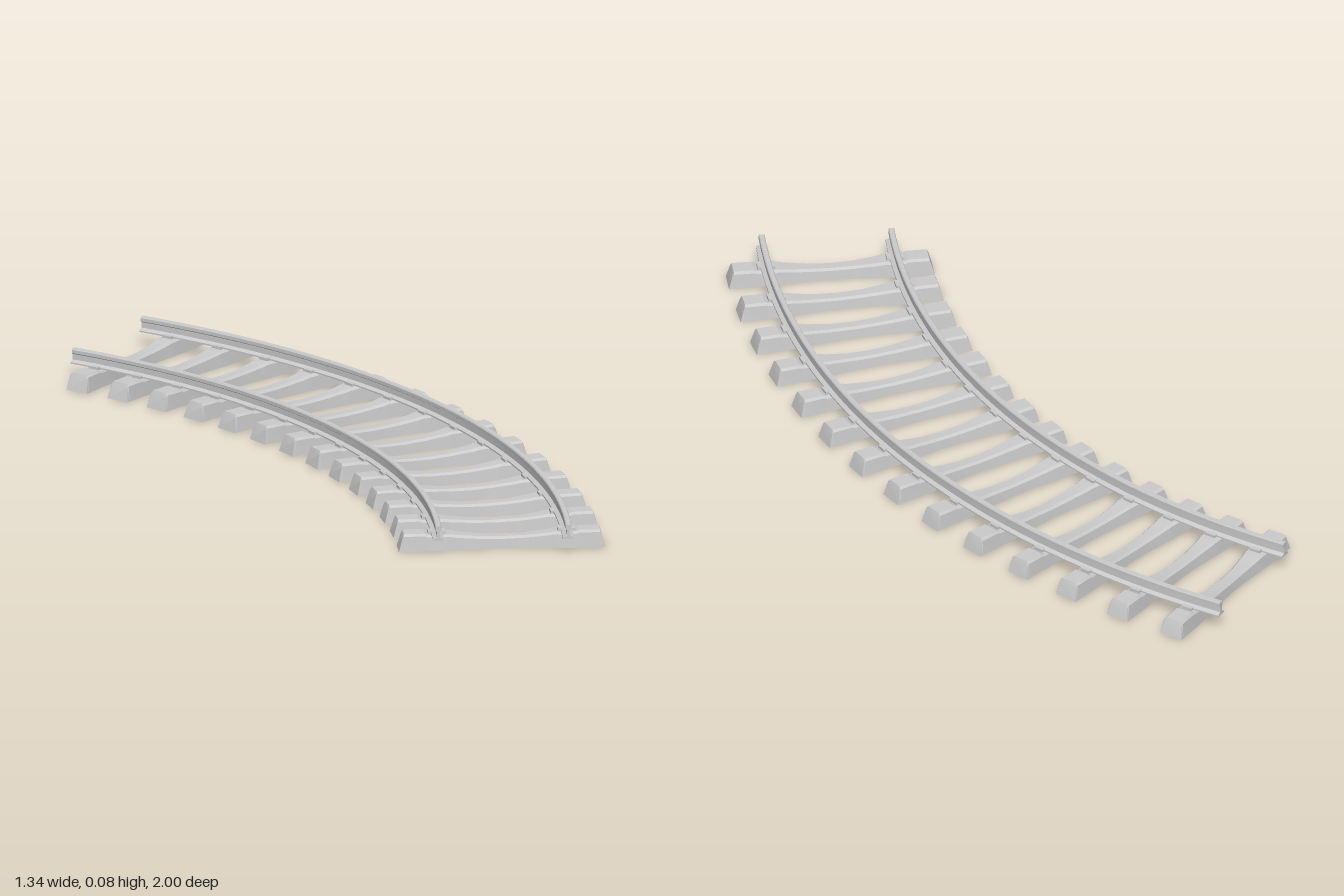
import * as THREE from 'three';
import { toCreasedNormals } from 'three/addons/utils/BufferGeometryUtils.js';

const RADIUS = 2.2;             // centre line of the curve
const HALF_GAUGE = 0.17;
const SWEEP = THREE.MathUtils.degToRad(55.3);
const SLEEPERS = 14;

const grey = new THREE.MeshStandardMaterial({ color: 0xcccccc });
const greyDouble = new THREE.MeshStandardMaterial({ color: 0xcccccc, side: THREE.DoubleSide });

// Rail cross-section, half: [offset from rail centre, height], foot to head
const railHalf = [
  [0.015, 0.043], [0.015, 0.047], [0.004, 0.052], [0.0035, 0.067],
  [0.008, 0.070], [0.008, 0.079], [0.006, 0.082],
];

function createRail(radius, name) {
  const rail = new THREE.Group();
  rail.name = name;
  const profile = [
    ...railHalf.map(([x, y]) => new THREE.Vector2(radius + x, y)),
    ...[...railHalf].reverse().map(([x, y]) => new THREE.Vector2(radius - x, y)),
  ];
  const swept = new THREE.LatheGeometry([...profile, profile[0]], 42, Math.PI / 2, SWEEP);
  const bar = new THREE.Mesh(toCreasedNormals(swept, 0.5), grey);
  bar.name = 'railBar';
  rail.add(bar);
  // Cut faces at both ends
  for (const angle of [0, SWEEP]) {
    const cap = new THREE.Mesh(new THREE.ShapeGeometry(new THREE.Shape(profile)), greyDouble);
    cap.name = 'railEnd';
    cap.rotation.y = angle;
    rail.add(cap);
  }
  return rail;
}

// Sleeper stations from the middle outwards: [x, base half width, top half width, top height, end slant]
const stations = [
  [0.00, 0.021, 0.017, 0.031, 0],
  [0.06, 0.023, 0.018, 0.033, 0],
  [0.12, 0.028, 0.023, 0.039, 0],
  [0.135, 0.030, 0.025, 0.042, 0],
  [0.193, 0.032, 0.026, 0.042, 0],
  [0.203, 0.032, 0.027, 0.046, 0],
  [0.262, 0.033, 0.027, 0.046, 0.1],
  [0.271, 0.033, 0.026, 0.041, 0.28],
];

function createSleeperGeometry() {
  const mirrored = stations.slice(1).reverse().map(([x, b, t, h, s]) => [-x, b, t, h, -s]);
  const rows = [...mirrored, ...stations];
  const positions = [];
  const index = [];
  const n = 6;
  for (const [x, base, top, h, slant] of rows) {
    const ring = [
      [-base, 0], [base, 0], [top + 0.001, h - 0.006],
      [top - 0.005, h], [-top + 0.005, h], [-top - 0.001, h - 0.006],
    ];
    for (const [z, y] of ring) positions.push(x - slant * y, y, z);
  }
  for (let i = 0; i < rows.length - 1; i++) {
    for (let j = 0; j < n; j++) {
      const a = i * n + j, b = i * n + (j + 1) % n;
      index.push(a, a + n, b, b, a + n, b + n);
    }
  }
  // End faces
  const last = (rows.length - 1) * n;
  for (let j = 1; j < n - 1; j++) {
    index.push(0, j, j + 1);
    index.push(last, last + j + 1, last + j);
  }
  const geometry = new THREE.BufferGeometry();
  geometry.setAttribute('position', new THREE.Float32BufferAttribute(positions, 3));
  geometry.setIndex(index);
  return toCreasedNormals(geometry, 0.35);
}

export function createModel() {
  const track = new THREE.Group();
  track.name = 'curvedTrack';
  // The origin of the group's contents is the centre of the curve
  const curve = new THREE.Group();
  curve.name = 'curve';
  curve.position.set(0.387 - RADIUS, 0, 1);
  track.add(curve);

  curve.add(createRail(RADIUS - HALF_GAUGE, 'innerRail'));
  curve.add(createRail(RADIUS + HALF_GAUGE, 'outerRail'));

  const sleeperGeometry = createSleeperGeometry();
  const clipGeometry = new THREE.BoxGeometry(0.012, 0.008, 0.03);
  const first = THREE.MathUtils.degToRad(2.3);
  const last = THREE.MathUtils.degToRad(53.1);
  for (let i = 0; i < SLEEPERS; i++) {
    const pivot = new THREE.Group();
    pivot.name = 'sleeperUnit';
    pivot.rotation.y = first + (last - first) * i / (SLEEPERS - 1);
    const sleeper = new THREE.Mesh(sleeperGeometry, grey);
    sleeper.name = 'sleeper';
    sleeper.position.x = RADIUS;
    pivot.add(sleeper);
    // Clips on both sides of each rail foot
    for (const rail of [-1, 1]) {
      for (const side of [-1, 1]) {
        const clip = new THREE.Mesh(clipGeometry, grey);
        clip.name = 'railClip';
        clip.position.set(RADIUS + rail * HALF_GAUGE + side * 0.017, 0.045, 0);
        pivot.add(clip);
      }
    }
    curve.add(pivot);
  }
  return track;
}
